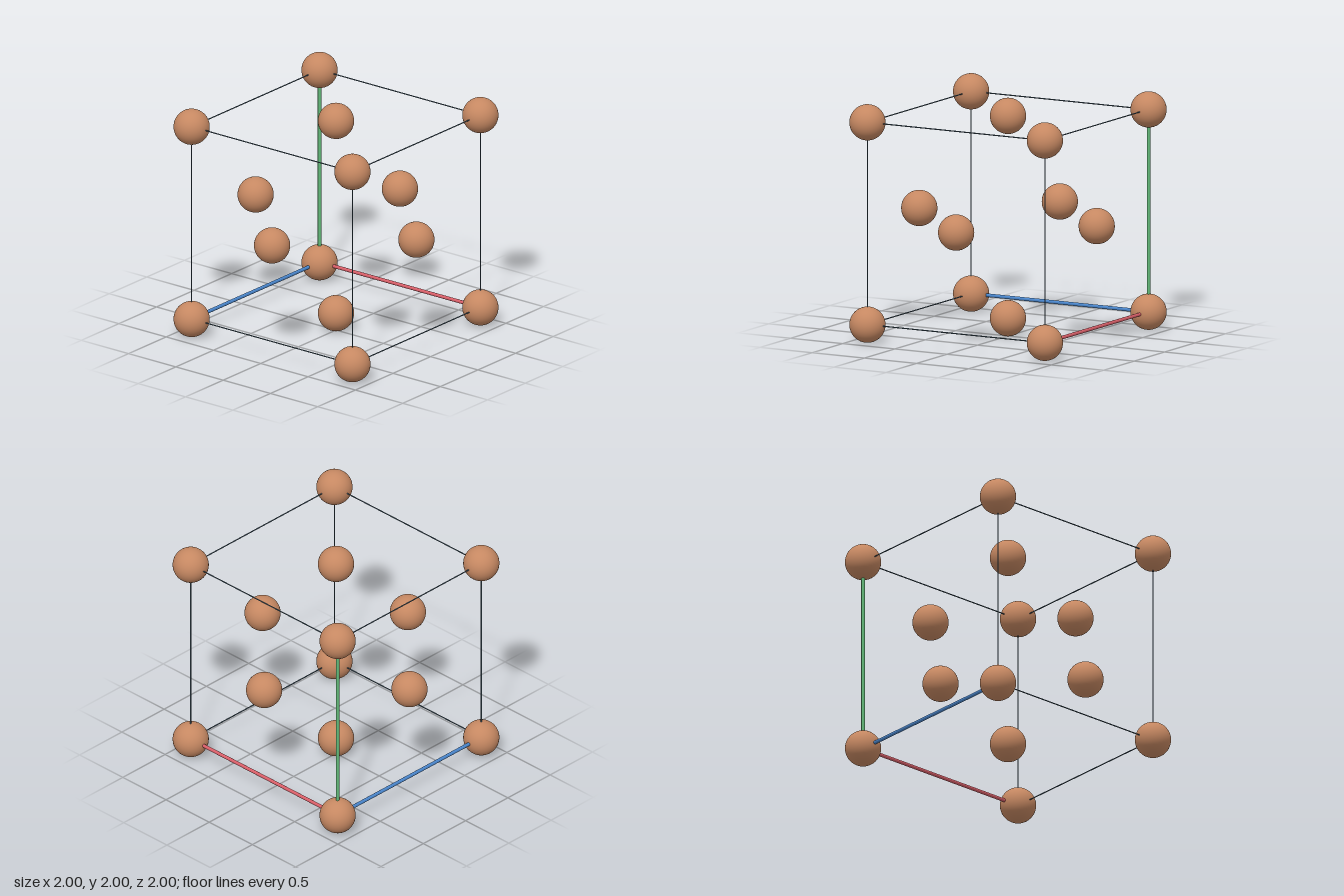
import * as THREE from 'three';

const H = 0.85;       // half the cell edge
const R = 0.15;       // atom radius
const AXIS_R = 0.015; // coloured axis rods
const EDGE_R = 0.005; // thin frame rods

function material(name, color) {
  const m = new THREE.MeshStandardMaterial({ color });
  m.name = name;
  return m;
}

export function createModel() {
  const copper = material('copper', 0xc68862);
  const slate = material('slate', 0x4f6675);
  const axisMaterials = {
    x: material('red', 0xd95f69),
    y: material('green', 0x62b878),
    z: material('blue', 0x4a86cc),
  };

  const model = new THREE.Group();
  model.name = 'cubicCell';
  const cell = new THREE.Group();
  cell.name = 'cell';
  cell.position.y = 1;
  model.add(cell);

  const add = (name, geometry, mat, position) => {
    const mesh = new THREE.Mesh(geometry, mat);
    mesh.name = name;
    mesh.position.copy(position);
    cell.add(mesh);
    return mesh;
  };

  // Atoms: eight corners and six face centres
  const atom = new THREE.SphereGeometry(R, 40, 28);
  for (const x of [-1, 0, 1]) for (const y of [-1, 0, 1]) for (const z of [-1, 0, 1]) {
    const order = Math.abs(x) + Math.abs(y) + Math.abs(z);
    if (order === 3 || order === 1) {
      const name = order === 3 ? 'cornerAtom' : 'faceAtom';
      add(name, atom, copper, new THREE.Vector3(x, y, z).multiplyScalar(H));
    }
  }

  // Rods: four per direction; those meeting at the origin corner are the axes
  const axisRod = new THREE.CylinderGeometry(AXIS_R, AXIS_R, 2 * H, 16);
  const edgeRod = new THREE.CylinderGeometry(EDGE_R, EDGE_R, 2 * H, 8);
  const names = ['x', 'y', 'z'];
  names.forEach((axis, i) => {
    for (const a of [-1, 1]) for (const b of [-1, 1]) {
      const isAxis = a < 0 && b < 0;
      const position = new THREE.Vector3();
      position[names[(i + 1) % 3]] = a * H;
      position[names[(i + 2) % 3]] = b * H;
      const rod = add(isAxis ? axis + 'Axis' : 'frameEdge', isAxis ? axisRod : edgeRod,
        isAxis ? axisMaterials[axis] : slate, position);
      if (axis === 'x') rod.rotation.z = Math.PI / 2;
      if (axis === 'z') rod.rotation.x = Math.PI / 2;
    }
  });

  return model;
}
